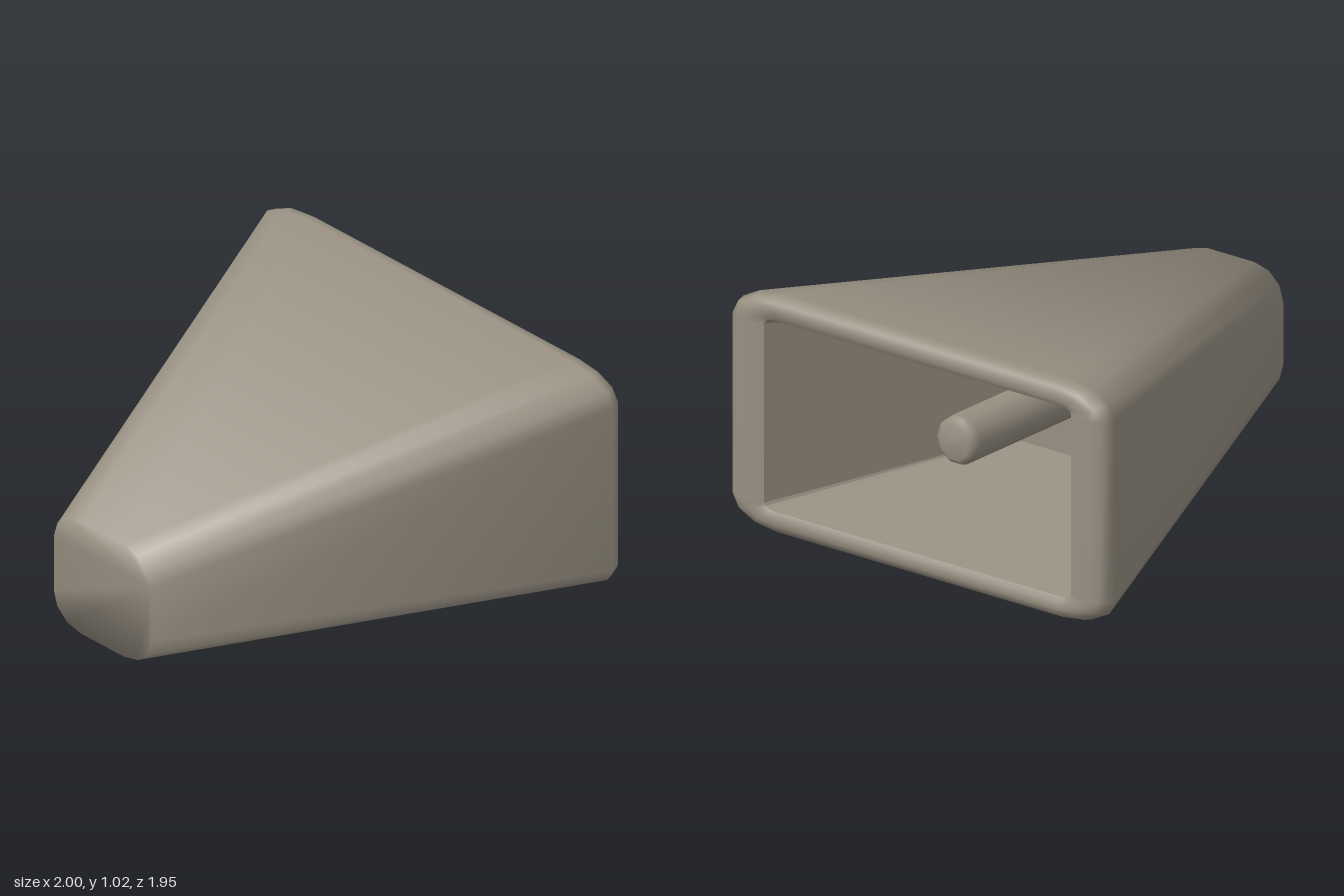
import * as THREE from 'three';

const CY = 0.51; // height of the centre axis
const N = 16;    // points per cross-section, four per corner

// Rounded rectangle across the x axis: half sizes hz, hy and corner radii rz, ry
function ring(x, hz, hy, rz, ry) {
  const pts = [];
  for (let c = 0; c < 4; c++) {
    const sz = c === 0 || c === 3 ? 1 : -1;
    const sy = c < 2 ? 1 : -1;
    for (let k = 0; k < 4; k++) {
      const t = (c + k / 3) * Math.PI / 2;
      pts.push([x, CY + sy * (hy - ry) + ry * Math.sin(t), sz * (hz - rz) + rz * Math.cos(t)]);
    }
  }
  return pts;
}

// Joins the rings into a skin; optional caps on the first and last ring
function skin(rings, capFirst, capLast) {
  const index = [];
  for (let r = 0; r < rings.length - 1; r++) {
    for (let i = 0; i < N; i++) {
      const j = (i + 1) % N, a = r * N, b = a + N;
      index.push(a + i, b + i, b + j, a + i, b + j, a + j);
    }
  }
  const last = (rings.length - 1) * N;
  for (let i = 1; i < N - 1; i++) {
    if (capFirst) index.push(0, i, i + 1);
    if (capLast) index.push(last, last + i + 1, last + i);
  }
  const geo = new THREE.BufferGeometry();
  geo.setAttribute('position', new THREE.Float32BufferAttribute(rings.flat(2), 3));
  geo.setIndex(index);
  geo.computeVertexNormals();
  return geo;
}

export function createModel() {
  const group = new THREE.Group();
  const metal = new THREE.MeshStandardMaterial({ color: 0x989082 });
  metal.name = 'warm grey';

  const add = (name, geo) => {
    const mesh = new THREE.Mesh(geo, metal);
    mesh.name = name;
    group.add(mesh);
  };

  // Tapered housing with a soft rim around the wide mouth
  const housing = skin([
    ring(-1, 0.27, 0.27, 0.15, 0.14),
    ring(0.93, 0.975, 0.51, 0.235, 0.12),
    ring(0.97, 0.965, 0.502, 0.23, 0.115),
    ring(0.99, 0.94, 0.485, 0.21, 0.1),
    ring(1, 0.9, 0.463, 0.17, 0.08),
    ring(1, 0.84, 0.435, 0.11, 0.05),
    ring(0.985, 0.79, 0.41, 0.05, 0.025),
  ], true, false);

  // Small end shades softly from the sides into its cap
  const normals = housing.attributes.normal;
  for (let i = 0; i < N; i++) {
    const n = new THREE.Vector3().fromBufferAttribute(normals, i);
    n.x -= 0.6;
    n.normalize();
    normals.setXYZ(i, n.x, n.y, n.z);
  }
  add('housing', housing);

  // Flat-sided tapered cavity with an end wall
  const cavity = skin([
    ring(0.985, 0.79, 0.41, 0.05, 0.025),
    ring(0, 0.315, 0.29, 0.008, 0.008),
  ], false, true).toNonIndexed();
  cavity.computeVertexNormals();
  add('cavity', cavity);

  // Ten-sided peg with a bevelled tip, standing on the end wall
  const profile = [[0.105, -0.02], [0.105, 0.71], [0.098, 0.74], [0.075, 0.76], [0, 0.765]]
    .map(([r, h]) => new THREE.Vector2(r, h));
  const peg = new THREE.LatheGeometry(profile, 10);
  peg.rotateZ(-Math.PI / 2);
  peg.translate(0, CY, 0);
  add('peg', peg);

  return group;
}
